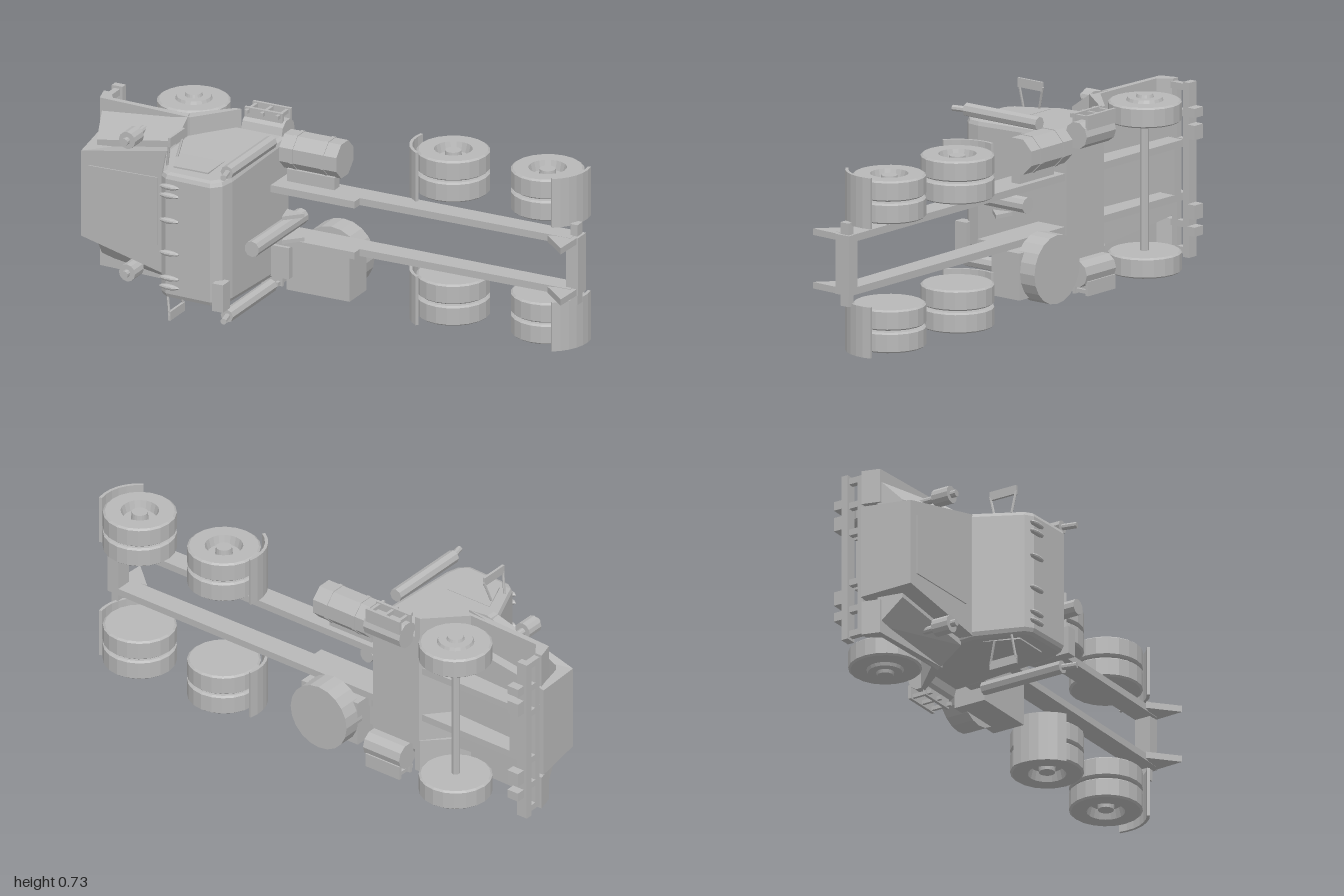
import * as THREE from 'three';

// A truck resting on its side: length along x (nose at -x), roof toward +z, width along y.
export function createModel() {
  const grey = new THREE.MeshStandardMaterial({ color: 0xb8b8b8, flatShading: true, side: THREE.DoubleSide });
  grey.name = 'plain grey';
  const model = new THREE.Group();
  model.name = 'truck';
  const truck = new THREE.Group();
  truck.name = 'truckBody';
  truck.position.y = 0.365;
  truck.rotation.y = -0.113;
  model.add(truck);

  const add = (name, geo) => {
    const mesh = new THREE.Mesh(geo, grey);
    mesh.name = name;
    truck.add(mesh);
    return mesh;
  };
  // Box from its limits
  const box = (name, x0, x1, y0, y1, z0, z1) =>
    add(name, new THREE.BoxGeometry(x1 - x0, y1 - y0, z1 - z0)
      .translate((x0 + x1) / 2, (y0 + y1) / 2, (z0 + z1) / 2));
  // Box on both sides of the truck
  const boxes = (name, x0, x1, y0, y1, z0, z1) => {
    box(name, x0, x1, y0, y1, z0, z1);
    box(name, x0, x1, -y1, -y0, z0, z1);
  };
  // Side profile (x, z) extruded across the width
  const slabGeo = (pts, y0, y1, bevel = 0) => {
    const shape = new THREE.Shape(pts.map(p => new THREE.Vector2(p[0], p[1])));
    return new THREE.ExtrudeGeometry(shape, {
      depth: y1 - y0 - 2 * bevel, bevelEnabled: bevel > 0, bevelSize: bevel,
      bevelThickness: bevel, bevelOffset: -bevel, bevelSegments: 2,
    }).rotateX(Math.PI / 2).translate(0, y1 - bevel, 0);
  };
  const slabs = (name, pts, y0, y1) => {
    add(name, slabGeo(pts, y0, y1));
    add(name, slabGeo(pts, -y1, -y0));
  };
  const rule = (geo, fn) => {
    const p = geo.attributes.position, v = new THREE.Vector3();
    for (let i = 0; i < p.count; i++) {
      fn(v.fromBufferAttribute(p, i));
      p.setXYZ(i, v.x, v.y, v.z);
    }
    geo.computeVertexNormals();
    return geo;
  };
  // Tapered body: each end is [x bottom, z bottom, half width, x top, z top, half width]
  const taper = (name, front, rear) => add(name, rule(new THREE.BoxGeometry(1, 1, 1), v => {
    const e = v.x < 0 ? front : rear, k = v.z < 0 ? 0 : 3;
    v.set(e[k], Math.sign(v.y) * e[k + 2], e[k + 1]);
  }));
  const rod = (name, a, b, r, sides = 10, r2 = r) => {
    const p = new THREE.Vector3(...a), d = new THREE.Vector3(...b).sub(p);
    const mesh = add(name, new THREE.CylinderGeometry(r2, r, d.length(), sides));
    mesh.position.copy(p).addScaledVector(d, 0.5);
    mesh.quaternion.setFromUnitVectors(new THREE.Vector3(0, 1, 0), d.normalize());
    return mesh;
  };

  // Cab, narrowing toward the roof
  const cab = slabGeo([[-0.48, -0.134], [-0.262, -0.134], [-0.268, 0.3], [-0.28, 0.355], [-0.315, 0.389],
    [-0.505, 0.382], [-0.535, 0.36], [-0.615, 0.177], [-0.615, 0.02]], -0.268, 0.268, 0.022);
  add('cab', rule(cab, v => { v.y *= 1 - 0.07 * (v.z + 0.134) / 0.52; }));
  slabs('sideWindow', [[-0.56, 0.19], [-0.36, 0.19], [-0.36, 0.32], [-0.505, 0.32]], 0.252, 0.258);

  // Hood, fenders and wheel arches
  taper('hood', [-1.008, -0.058, 0.185, -0.985, 0.149, 0.17], [-0.6, -0.04, 0.235, -0.6, 0.178, 0.25]);
  taper('hoodPanel', [-0.95, 0.148, 0.12, -0.95, 0.157, 0.12], [-0.65, 0.17, 0.135, -0.65, 0.179, 0.135]);
  taper('fenderCrown', [-0.975, -0.005, 0.3, -0.95, 0.09, 0.2], [-0.6, 0.015, 0.345, -0.6, 0.12, 0.27]);
  slabs('wheelArch', [[-1, -0.06], [-0.97, -0.06], [-0.935, -0.01], [-0.62, 0], [-0.485, -0.134],
    [-0.46, -0.134], [-0.59, 0.03], [-0.98, 0.01]], 0.2, 0.335);

  // Bumper frame with hanging brackets
  box('bumperBar', -1.0, -0.955, -0.335, 0.335, -0.15, -0.122);
  box('bumperUpperBar', -0.99, -0.965, -0.3, 0.3, -0.085, -0.06);
  for (const y of [0.09, 0.2, 0.3]) boxes('bumperUpright', -0.99, -0.965, y, y + 0.025, -0.15, -0.04);
  boxes('bumperHook', -0.99, -0.94, 0.125, 0.18, -0.19, -0.155);
  boxes('bumperLamp', -0.99, -0.94, 0.21, 0.245, -0.19, -0.155);

  for (const s of [-1, 1]) {
    // Air cleaners
    rod('airCleanerStem', [-0.77, s * 0.265, 0.05], [-0.77, s * 0.265, 0.212], 0.014);
    rod('airCleaner', [-0.77, s * 0.265, 0.12], [-0.77, s * 0.265, 0.19], 0.034, 12);
    // Exhaust stacks with bent tips
    rod('exhaustStack', [-0.265, s * 0.287, 0], [-0.265, s * 0.287, 0.35], 0.026, 8);
    rod('exhaustTip', [-0.265, s * 0.287, 0.34], [-0.25, s * 0.287, 0.405], 0.012, 8);
    // Mirror arms
    for (const z of [0.2, 0.315]) rod('mirrorArm', [-0.54, s * 0.25, z + (z < 0.25 ? 0.03 : -0.01)], [-0.525, s * 0.345, z], 0.005, 6);
    // Under-cab cylinder behind the step
    rod('stepTank', [-0.45, s * 0.265, -0.165], [-0.28, s * 0.265, -0.165], 0.052, 10);
  }
  boxes('mirror', -0.53, -0.52, 0.33, 0.365, 0.2, 0.318);

  // Side steps
  for (const z of [-0.215, -0.15]) boxes('stepTread', -0.45, -0.29, 0.29, 0.345, z, z + 0.012);
  for (const x of [-0.44, -0.375, -0.31]) boxes('stepHanger', x, x + 0.012, 0.325, 0.34, -0.215, -0.12);

  // Roof marker lights and horn box
  for (const y of [-0.2, -0.165, -0.065, 0.065, 0.165, 0.2]) {
    const lamp = add('roofLight', new THREE.SphereGeometry(1, 10, 6));
    lamp.scale.set(0.042, 0.011, 0.014);
    lamp.position.set(-0.49, y, 0.385);
  }
  box('roofBox', -0.3, -0.255, -0.255, -0.145, 0.345, 0.4);

  // Chassis rails, deeper toward the cab
  slabs('frameRail', [[-0.95, -0.125], [0.97, -0.125], [0.97, -0.045], [0.09, -0.035], [0.09, 0.005],
    [-0.28, 0.005], [-0.95, -0.04]], 0.088, 0.116);
  box('rearCrossmember', 0.945, 0.995, -0.115, 0.115, -0.125, -0.06);
  boxes('flapArm', 0.955, 0.985, 0.11, 0.16, -0.115, -0.075);
  box('frontCrossmember', -0.94, -0.9, -0.1, 0.1, -0.125, -0.06);
  slabs('rampFin', [[0.88, -0.035], [0.99, -0.065], [0.985, 0.058]], 0.09, 0.115);

  // Upright cylinder and brackets behind the cab
  rod('rearStack', [-0.155, 0, -0.035], [-0.16, 0, 0.35], 0.031, 10);
  slabs('stackBracket', [[-0.17, 0.05], [-0.09, 0.065], [-0.15, 0.13]], 0.04, 0.055);

  // Side tank with straps
  const tank = add('fuelTank', new THREE.CylinderGeometry(0.073, 0.073, 0.24, 8).rotateY(Math.PI / 8).rotateZ(Math.PI / 2));
  tank.position.set(-0.13, 0.228, -0.105);
  for (const x of [-0.2, -0.07]) {
    const strap = add('tankStrap', new THREE.CylinderGeometry(0.076, 0.076, 0.014, 8).rotateY(Math.PI / 8).rotateZ(Math.PI / 2));
    strap.position.set(x, 0.228, -0.105);
  }
  boxes('tankMount', -0.23, -0.03, 0.11, 0.165, -0.1, -0.06);

  // Equipment box with a large drum beneath
  box('equipmentBox', -0.215, 0.05, -0.305, -0.125, -0.165, -0.03);
  box('equipmentSmallBox', -0.27, -0.19, -0.25, -0.125, -0.09, 0.0);
  rod('drum', [-0.085, -0.2, -0.235], [-0.085, -0.2, -0.14], 0.132, 20);

  // Curved mudflaps around the rear wheels
  const arc = (cx, from, to) => {
    const pts = [], n = 6;
    for (let i = 0; i <= n; i++) pts.push([0.165, from + (to - from) * i / n]);
    for (let i = n; i >= 0; i--) pts.push([0.153, from + (to - from) * i / n]);
    return pts.map(([r, a]) => [cx + r * Math.cos(a), -0.168 + r * Math.sin(a)]);
  };
  slabs('rearMudflap', arc(0.811, -0.25, 1.0), 0.15, 0.345);
  slabs('forwardMudflap', arc(0.414, 2.1, 3.4), 0.15, 0.345);

  // Wheels: raised hub in front, recessed hub on the rear pairs
  const wheel = (name, x, y, s, hub) => {
    const h = 0.039;
    const pts = [[0, -h], [0.13, -h], [0.138, -h + 0.006], [0.138, h - 0.006], [0.13, h], ...hub.map(p => [p[0], h + p[1]])];
    const mesh = add(name, new THREE.LatheGeometry(pts.map(p => new THREE.Vector2(...p)), 20));
    mesh.position.set(x, s * y, -0.167);
    if (s < 0) mesh.rotation.x = Math.PI;
  };
  const raised = [[0.07, 0], [0.065, 0.012], [0.034, 0.012], [0.03, 0.024], [0, 0.024]];
  const recessed = [[0.072, 0], [0.062, -0.035], [0.033, -0.035], [0.03, -0.006], [0, -0.006]];
  for (const s of [-1, 1]) {
    wheel('frontWheel', -0.678, 0.288, s, raised);
    for (const x of [0.414, 0.811]) {
      wheel('rearOuterWheel', x, 0.29, s, recessed);
      wheel('rearInnerWheel', x, 0.204, s, [[0, 0]]);
    }
  }
  rod('frontAxle', [-0.678, -0.26, -0.165], [-0.678, 0.26, -0.165], 0.016, 8);
  return model;
}
